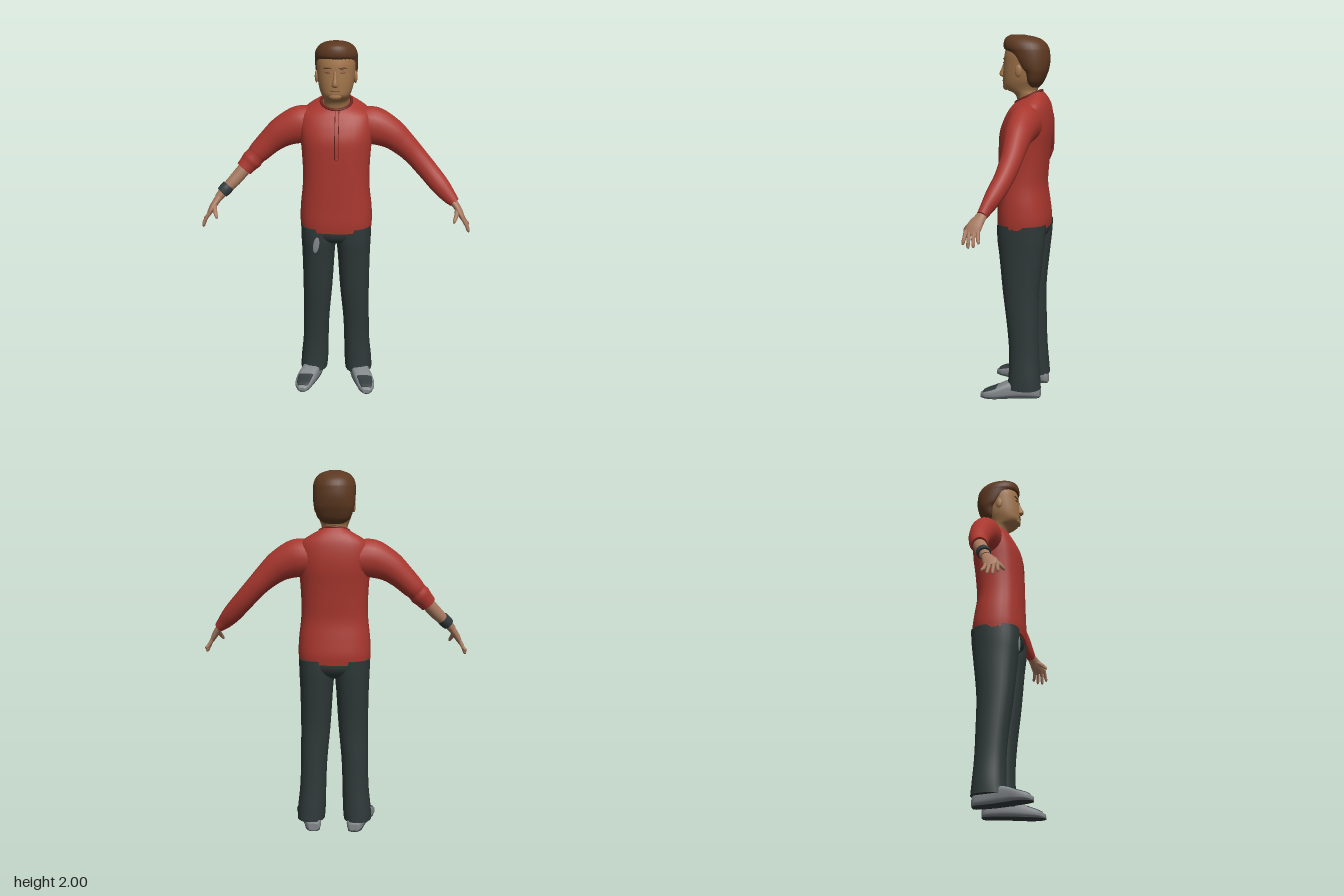
import * as THREE from 'three';

const V = (x, y, z) => new THREE.Vector3(x, y, z);
const mat = (name, color) => {
  const m = new THREE.MeshStandardMaterial({ color });
  m.name = name;
  return m;
};

// Catmull-Rom subdivision of rows of numbers
function refine(rows, n = 5) {
  const out = [];
  for (let i = 0; i < rows.length - 1; i++) {
    const [a, b, c, d] = [rows[Math.max(i - 1, 0)], rows[i], rows[i + 1], rows[Math.min(i + 2, rows.length - 1)]];
    for (let k = 0; k < n; k++) {
      const t = k / n;
      out.push(b.map((p, j) => p + 0.5 * t * (c[j] - a[j] + t * (2 * a[j] - 5 * p + 4 * c[j] - d[j]
        + t * (3 * (p - c[j]) + d[j] - a[j])))));
    }
  }
  out.push(rows[rows.length - 1]);
  return out;
}

// Skin over superelliptic rings {c, u, v}, capped at both ends
function skin(rings, e = 1, seg = 28) {
  const pos = [], idx = [], pw = (t) => Math.sign(t) * Math.abs(t) ** e;
  const ring = ({ c, u, v }) => {
    const start = pos.length / 3;
    for (let j = 0; j < seg; j++) {
      const a = (j / seg) * Math.PI * 2;
      const p = c.clone().addScaledVector(u, pw(Math.cos(a))).addScaledVector(v, pw(Math.sin(a)));
      pos.push(p.x, p.y, p.z);
    }
    return start;
  };
  const r0 = rings[0], last = rings[rings.length - 1];
  const flip = r0.u.clone().cross(r0.v).dot(rings[1].c.clone().sub(r0.c)) < 0;
  const tri = (a, b, c) => (flip ? idx.push(a, c, b) : idx.push(a, b, c));
  rings.forEach((r, i) => {
    const s = ring(r);
    if (!i) return;
    for (let j = 0; j < seg; j++) {
      const k = (j + 1) % seg, q = s - seg;
      tri(q + j, q + k, s + j);
      tri(q + k, s + k, s + j);
    }
  });
  [r0, last].forEach((r, end) => {
    const s = ring(r), m = pos.length / 3;
    pos.push(r.c.x, r.c.y, r.c.z);
    for (let j = 0; j < seg; j++) {
      const k = (j + 1) % seg;
      end ? tri(s + j, s + k, m) : tri(s + k, s + j, m);
    }
  });
  const g = new THREE.BufferGeometry();
  g.setAttribute('position', new THREE.Float32BufferAttribute(pos, 3));
  g.setIndex(idx);
  g.computeVertexNormals();
  return g;
}

// Upright form: rows [y, centreX, frontZ, backZ, halfWidth, tilt]
const upright = (rows, e, s = 1) => skin(refine(rows).map(([y, cx, zf, zb, hw, tilt = 0]) => ({
  c: V(cx * s, y, (zf + zb) / 2), u: V(hw, 0, 0), v: V(0, -tilt, (zf - zb) / 2),
})), e);

// Limb form: rows [x, y, z, thickness, depth], s mirrors it
function limb(rows, s, seg = 20) {
  const r = refine(rows), at = (q) => V(q[0] * s, q[1], q[2]);
  return skin(r.map((q, i) => {
    const t = at(r[Math.min(i + 1, r.length - 1)]).sub(at(r[Math.max(i - 1, 0)])).normalize();
    const v = V(0, 0, 1).addScaledVector(t, -t.z).normalize();
    return { c: at(q), u: t.clone().cross(v).multiplyScalar(q[3]), v: v.multiplyScalar(q[4]) };
  }), 1, seg);
}

export function createModel() {
  const model = new THREE.Group();
  model.name = 'standingMan';
  const red = mat('shirt red', 0xa8372e), darkRed = mat('trim dark red', 0x6c231d);
  const slate = mat('trouser slate', 0x2e3938), brown = mat('hair brown', 0x5c3820);
  const face = mat('face skin', 0xa0744a), hand = mat('hand skin', 0xa87a60);
  const grey = mat('shoe grey', 0x82878a), dark = mat('dark rubber', 0x333b3d);
  const lip = mat('lip brown', 0x7f5238);
  const add = (name, geo, m) => {
    const mesh = new THREE.Mesh(geo, m);
    mesh.name = name;
    model.add(mesh);
    return mesh;
  };
  const blob = (name, m, x, y, z, sx, sy, sz) => {
    const b = add(name, new THREE.SphereGeometry(1, 16, 12), m);
    b.position.set(x, y, z);
    b.scale.set(sx, sy, sz);
    return b;
  };

  // Shirt body with a neckline sloping up to the back
  add('shirtBody', upright([
    [0.965, 0, 0.112, -0.172, 0.197, 0], [1.02, 0, 0.115, -0.175, 0.2, 0], [1.1, 0, 0.112, -0.165, 0.196, 0],
    [1.2, 0, 0.11, -0.152, 0.185, 0], [1.3, 0, 0.108, -0.158, 0.183, 0], [1.4, 0, 0.106, -0.168, 0.188, 0],
    [1.48, 0, 0.1, -0.178, 0.195, 0], [1.55, 0, 0.078, -0.178, 0.2, 0.005], [1.61, 0, 0.052, -0.168, 0.188, 0.015],
    [1.645, 0, 0.036, -0.15, 0.145, 0.025], [1.672, 0, 0.02, -0.125, 0.085, 0.033],
  ], 0.82), red);
  const neckline = [];
  for (let i = 0; i < 24; i++) {
    const a = (i / 24) * Math.PI * 2;
    neckline.push(V(0.082 * Math.cos(a), 1.673 - 0.033 * Math.sin(a), -0.052 + 0.071 * Math.sin(a)));
  }
  add('collar', new THREE.TubeGeometry(new THREE.CatmullRomCurve3(neckline, true), 48, 0.008, 8, true), darkRed);
  for (const x of [-0.002, 0.018]) {
    const line = [[1.39, 0.107], [1.48, 0.1], [1.545, 0.079], [1.595, 0.053], [1.64, 0.022]].map(([y, z]) => V(x, y, z - Math.abs(x) * 0.1));
    add('placketSeam', new THREE.TubeGeometry(new THREE.CatmullRomCurve3(line), 20, 0.0018, 6), darkRed);
  }
  blob('placketButton', darkRed, 0.008, 1.39, 0.106, 0.008, 0.004, 0.003);

  // Head and neck
  add('head', upright([
    [1.6, 0, 0.005, -0.1, 0.066], [1.66, 0, 0.012, -0.1, 0.066], [1.69, 0, 0.03, -0.098, 0.068],
    [1.708, 0, 0.068, -0.098, 0.072], [1.73, 0, 0.088, -0.105, 0.08], [1.76, 0, 0.09, -0.12, 0.09],
    [1.8, 0, 0.089, -0.13, 0.097], [1.85, 0, 0.085, -0.137, 0.102], [1.9, 0, 0.08, -0.14, 0.103],
    [1.95, 0, 0.062, -0.13, 0.09], [1.98, 0, 0.02, -0.09, 0.05],
  ], 0.93), face);
  add('nose', upright([
    [1.776, 0, 0.095, 0.07, 0.01], [1.784, 0, 0.109, 0.07, 0.018], [1.8, 0, 0.111, 0.07, 0.014],
    [1.83, 0, 0.098, 0.07, 0.009], [1.86, 0, 0.086, 0.07, 0.007],
  ], 1), face);
  blob('chin', face, 0, 1.726, 0.074, 0.035, 0.02, 0.018);
  blob('mouth', lip, 0, 1.757, 0.088, 0.026, 0.005, 0.0045);
  for (const s of [-1, 1]) {
    blob('eyebrow', brown, 0.04 * s, 1.874, 0.077, 0.024, 0.004, 0.0049).rotation.y = 0.3 * s;
    blob('eye', lip, 0.04 * s, 1.853, 0.078, 0.016, 0.005, 0.0045).rotation.y = 0.3 * s;
    blob('ear', face, 0.103 * s, 1.812, -0.016, 0.01, 0.033, 0.019);
  }

  // Hair cap, receding below the forehead into the head
  add('hair', upright([
    [1.722, 0, -0.055, -0.105, 0.05], [1.75, 0, -0.035, -0.13, 0.086], [1.8, 0, -0.022, -0.152, 0.104],
    [1.83, 0, 0.01, -0.161, 0.111], [1.87, 0, 0.042, -0.166, 0.114], [1.91, 0, 0.066, -0.163, 0.114],
    [1.932, 0, 0.084, -0.158, 0.112], [1.96, 0, 0.085, -0.14, 0.101], [1.985, 0, 0.075, -0.1, 0.075],
    [2, 0, 0.05, -0.03, 0.03],
  ], 0.95), brown);

  // Sleeves: long on the left, pushed up to the elbow on the right
  const upper = [[0.13, 1.535, -0.07, 0.098, 0.085], [0.2, 1.535, -0.066, 0.104, 0.085], [0.29, 1.497, -0.062, 0.086, 0.075],
    [0.36, 1.443, -0.06, 0.07, 0.064], [0.425, 1.38, -0.055, 0.06, 0.056]];
  add('leftSleeve', limb([...upper, [0.5, 1.298, -0.036, 0.056, 0.05], [0.57, 1.22, -0.004, 0.052, 0.045],
    [0.62, 1.166, 0.022, 0.04, 0.033], [0.652, 1.136, 0.036, 0.028, 0.027]], 1), red);
  add('rightSleeve', limb([...upper, [0.446, 1.358, -0.05, 0.054, 0.051], [0.466, 1.336, -0.046, 0.057, 0.053],
    [0.486, 1.314, -0.04, 0.051, 0.048], [0.51, 1.287, -0.03, 0.047, 0.044]], -1), red);
  add('rightForearm', limb([[0.48, 1.32, -0.043, 0.037, 0.037], [0.56, 1.23, -0.006, 0.035, 0.035],
    [0.61, 1.182, 0.015, 0.028, 0.03], [0.65, 1.137, 0.036, 0.022, 0.026]], -1), hand);
  add('wristBand', limb([[0.593, 1.201, 0.007, 0.035, 0.036], [0.61, 1.183, 0.016, 0.036, 0.037],
    [0.628, 1.165, 0.024, 0.033, 0.034]], -1), dark);

  for (const s of [-1, 1]) {
    const side = s > 0 ? 'left' : 'right';
    // Hand with four fingers and a thumb
    add(side + 'Palm', limb([[0.635, 1.152, 0.028, 0.021, 0.025], [0.66, 1.12, 0.046, 0.019, 0.03],
      [0.682, 1.085, 0.066, 0.017, 0.039], [0.702, 1.048, 0.078, 0.01, 0.036]], s), hand);
    [[0.046, 0.034, 1.008], [0.067, 0.06, 0.99], [0.088, 0.087, 0.985], [0.106, 0.113, 1.0]].forEach(([z0, z1, y], i) => {
      add(side + 'Finger', limb([[0.693, 1.068, z0, 0.01, 0.01], [0.715, 1.03, (z0 + z1) / 2, 0.0095, 0.0095],
        [0.727 - 0.005 * (i === 3), y + 0.01, z1, 0.008, 0.008], [0.73 - 0.005 * (i === 3), y, z1, 0.003, 0.003]], s, 10), hand);
    });
    add(side + 'Thumb', limb([[0.665, 1.112, 0.062, 0.014, 0.014], [0.658, 1.085, 0.1, 0.012, 0.012],
      [0.647, 1.06, 0.124, 0.009, 0.009], [0.643, 1.05, 0.13, 0.003, 0.003]], s, 10), hand);

    // Trouser leg
    add(side + 'TrouserLeg', upright([
      [0.985, 0.1, 0.1, -0.168, 0.097], [0.9, 0.098, 0.1, -0.163, 0.097], [0.8, 0.1, 0.088, -0.152, 0.091],
      [0.6, 0.105, 0.068, -0.132, 0.083], [0.4, 0.115, 0.042, -0.132, 0.075], [0.25, 0.12, 0.03, -0.136, 0.074],
      [0.12, 0.128, 0.032, -0.145, 0.079], [0.055, 0.132, 0.04, -0.15, 0.078],
    ], 0.88, s), slate);

    // Shoe rows [z, centreX, halfWidth, height], with toe panel and sole
    const shoe = refine([[-0.145, 0.115, 0.026, 0.045], [-0.12, 0.118, 0.045, 0.08], [-0.03, 0.132, 0.052, 0.1],
      [0.04, 0.153, 0.055, 0.088], [0.1, 0.174, 0.054, 0.062], [0.15, 0.183, 0.043, 0.044], [0.18, 0.186, 0.018, 0.026]]);
    const shoePart = (rows, w, y0, y1, e) => skin(rows.map(([z, cx, hw, h]) => ({
      c: V(cx * s, (y0(h) + y1(h)) / 2, z), u: V(hw * w, 0, 0), v: V(0, (y1(h) - y0(h)) / 2, 0),
    })), e);
    add(side + 'Shoe', shoePart(shoe, 1, () => 0.003, (h) => h, 0.6), grey);
    add(side + 'ToePanel', shoePart(shoe.filter((r) => r[0] > 0.08 && r[0] < 0.17), 0.82, (h) => h * 0.5, (h) => h + 0.003, 0.6), dark);
    add(side + 'Sole', shoePart(shoe, 0.86, () => 0, () => 0.008, 0.6), dark);
  }

  // Trouser seat joining the legs, and a pale worn patch on the right thigh
  add('trouserSeat', upright([[0.99, 0, 0.103, -0.17, 0.195], [0.94, 0, 0.1, -0.167, 0.188],
    [0.9, 0, 0.075, -0.14, 0.13], [0.875, 0, 0.03, -0.09, 0.04]], 0.85), slate);
  blob('thighPatch', grey, -0.104, 0.892, 0.1, 0.017, 0.048, 0.0045).rotation.z = -0.15;

  return model;
}
